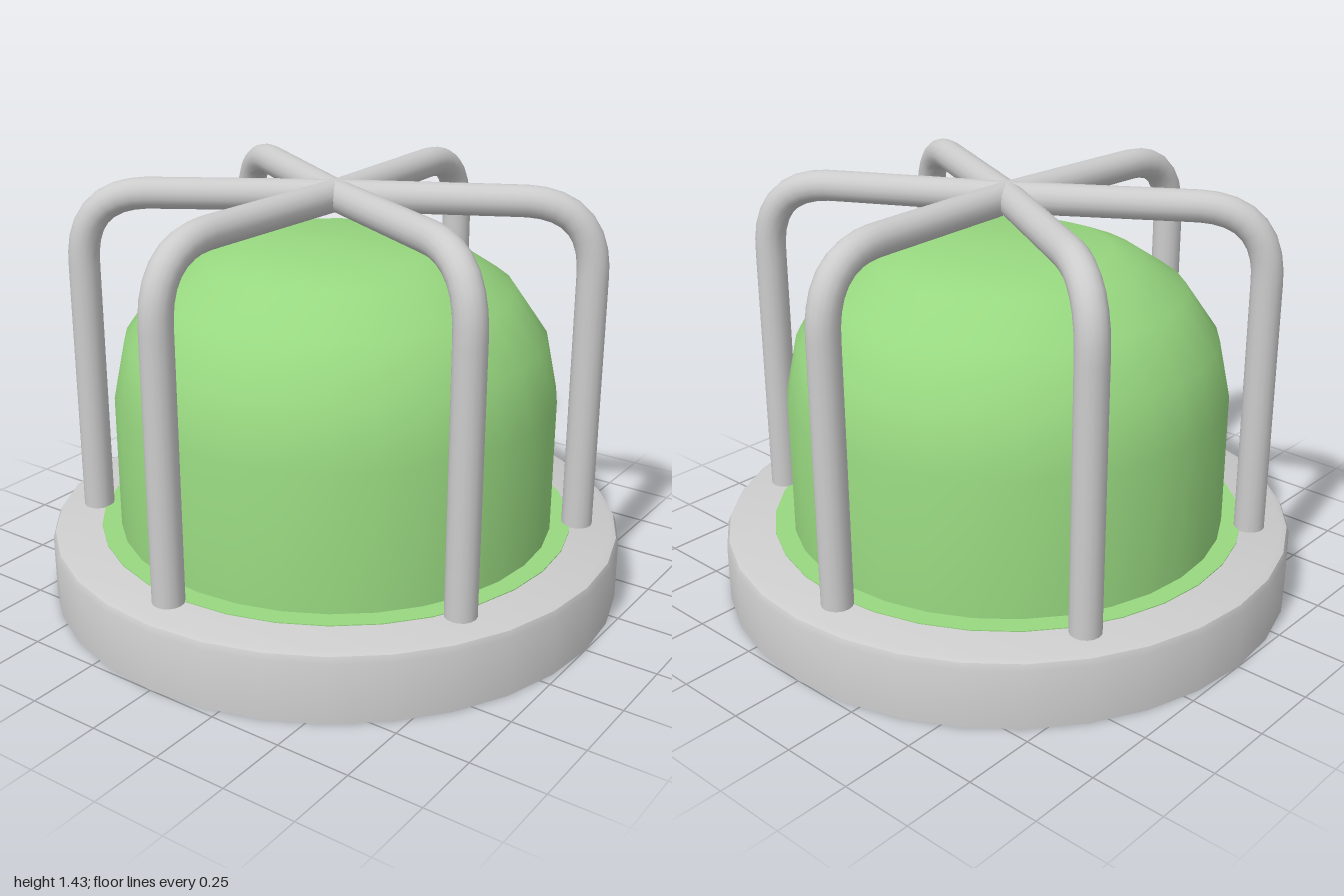
import * as THREE from 'three';
import { toCreasedNormals } from 'three/addons/utils/BufferGeometryUtils.js';

const mat = (name, color) => {
  const m = new THREE.MeshStandardMaterial({ color });
  m.name = name;
  return m;
};

// Revolved solid with sharp edges kept where the profile turns hard
function revolve(points, sides) {
  const profile = points.map(([r, y]) => new THREE.Vector2(r, y));
  return toCreasedNormals(new THREE.LatheGeometry(profile, sides), 0.7);
}

// Upright rod that bends over and runs level to the centre
function cageBar(x, z) {
  const radius = Math.hypot(x, z), top = 1.38, bend = 0.24;
  const k = 1 - bend / radius;
  const foot = new THREE.Vector3(x, 0.2, z);
  const bendStart = new THREE.Vector3(x, top - bend, z);
  const corner = new THREE.Vector3(x, top, z);
  const bendEnd = new THREE.Vector3(x * k, top, z * k);
  const path = new THREE.CurvePath();
  path.add(new THREE.LineCurve3(foot, bendStart));
  path.add(new THREE.QuadraticBezierCurve3(bendStart, corner, bendEnd));
  path.add(new THREE.LineCurve3(bendEnd, new THREE.Vector3(0, top, 0)));
  return new THREE.TubeGeometry(path, 40, 0.053, 16);
}

export function createModel() {
  const group = new THREE.Group();
  const grey = mat('light grey metal', 0xcccccc);
  const green = mat('green lens', 0x98d880);
  const add = (name, geometry, material) => {
    const mesh = new THREE.Mesh(geometry, material);
    mesh.name = name;
    group.add(mesh);
    return mesh;
  };

  // Round base plate with a softened top edge
  add('base', revolve([[0, 0], [1, 0], [1, 0.205], [0.991, 0.226], [0.97, 0.235], [0, 0.235]], 32), grey);

  // Thin gasket under the dome
  add('gasket', new THREE.CylinderGeometry(0.83, 0.83, 0.006, 32), green).position.y = 0.235;

  // Domed lens with straight walls and a flat crown
  add('dome', revolve([[0.762, 0.22], [0.762, 0.71], [0.72, 0.91], [0.605, 1.075],
    [0.45, 1.177], [0.35, 1.215], [0, 1.217]], 32), green);

  // Six guard bars meeting above the dome
  const feet = [[-0.04, 0.855], [-0.728, 0.455], [0.755, 0.398]];
  const cage = new THREE.Group();
  cage.name = 'guardCage';
  for (const [x, z] of feet) {
    for (const side of [1, -1]) {
      const bar = new THREE.Mesh(cageBar(x, z * side), grey);
      bar.name = 'guardBar';
      cage.add(bar);
    }
  }
  const joint = new THREE.Mesh(new THREE.SphereGeometry(0.053, 16, 12), grey);
  joint.name = 'cageJoint';
  joint.position.y = 1.38;
  cage.add(joint);
  group.add(cage);

  return group;
}
